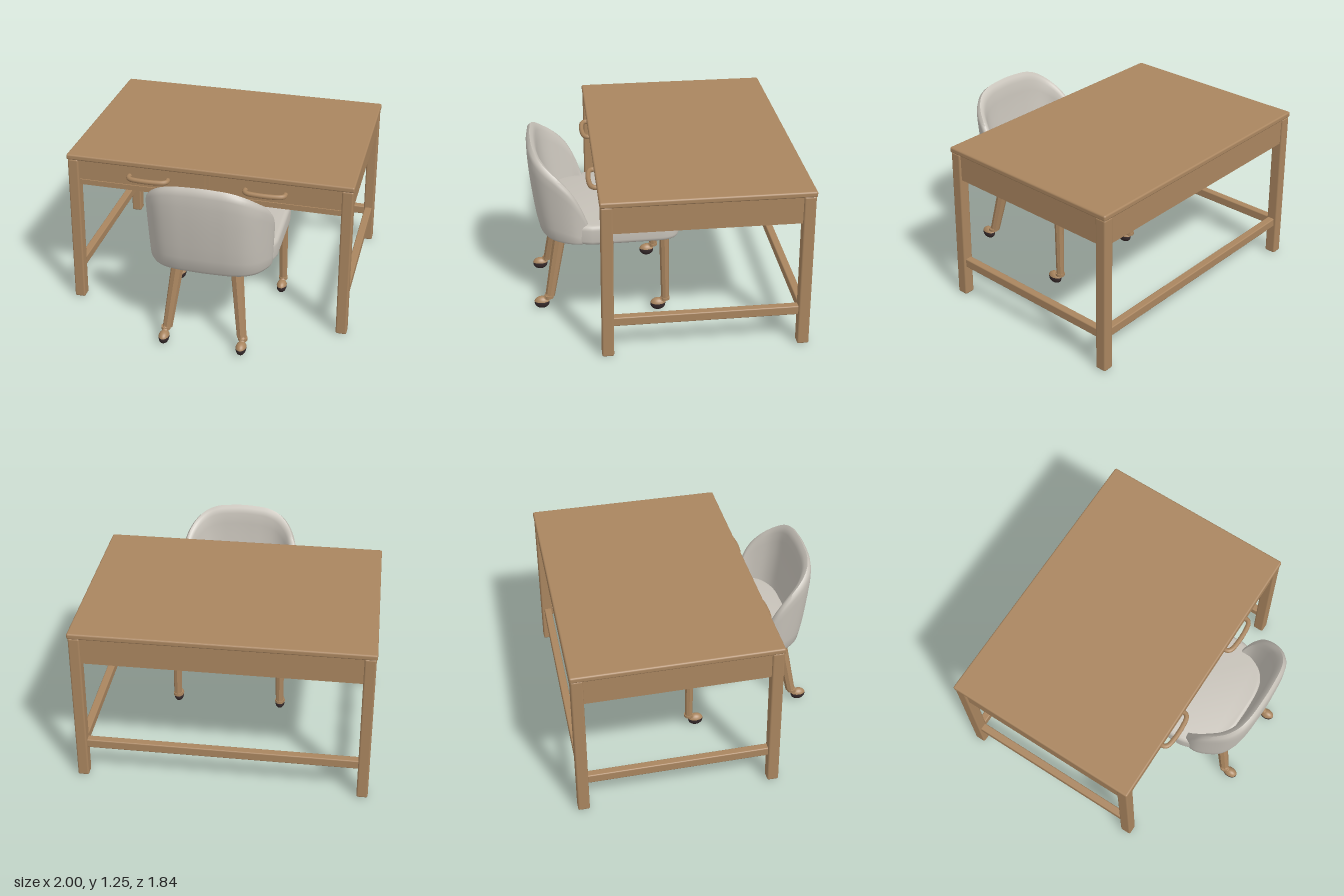
import * as THREE from 'three';
import { toCreasedNormals } from 'three/addons/utils/BufferGeometryUtils.js';
import { RoundedBoxGeometry } from 'three/addons/geometries/RoundedBoxGeometry.js';

const mat = (name, color) => new THREE.MeshStandardMaterial({ name, color });
const wood = mat('wood', 0xa9855f);
const fabric = mat('grey fabric', 0xc6c1b8);
const rubber = mat('caster rubber', 0x35292a);
const V = (x, y, z) => new THREE.Vector3(x, y, z);

function add(parent, name, geo, material) {
  const m = new THREE.Mesh(geo, material);
  m.name = name;
  parent.add(m);
  return m;
}

// Wooden box given by its extents, with optional rounded edges
function box(parent, name, x0, x1, y0, y1, z0, z1, r = 0) {
  const s = [x1 - x0, y1 - y0, z1 - z0];
  const geo = r ? new RoundedBoxGeometry(...s, 2, r) : new THREE.BoxGeometry(...s);
  const m = add(parent, name, geo, wood);
  m.position.set((x0 + x1) / 2, (y0 + y1) / 2, (z0 + z1) / 2);
  return m;
}

// Tapered bar between two points; few sides give a faceted look
function bar(parent, name, a, b, ra, rb, sides = 16) {
  const geo = toCreasedNormals(new THREE.CylinderGeometry(rb, ra, a.distanceTo(b), sides), 0.6);
  const m = add(parent, name, geo, wood);
  m.position.copy(a).lerp(b, 0.5);
  m.quaternion.setFromUnitVectors(V(0, 1, 0), b.clone().sub(a).normalize());
  return m;
}

function createDesk() {
  const desk = new THREE.Group();
  desk.name = 'desk';
  const cz = -0.217;
  box(desk, 'deskTop', -0.993, 0.993, 1.12, 1.16, -0.91, 0.476, 0.012);

  // Legs splay slightly outwards towards the floor
  for (const sx of [-1, 1]) for (const sz of [-1, 1]) {
    const geo = new RoundedBoxGeometry(0.076, 1.115, 0.08, 2, 0.012);
    const p = geo.attributes.position;
    for (let i = 0; i < p.count; i++) {
      const t = 0.5 - p.getY(i) / 1.115;
      p.setX(i, p.getX(i) + sx * 0.013 * t);
      p.setZ(i, p.getZ(i) + sz * 0.013 * t);
    }
    add(desk, 'deskLeg', geo, wood).position.set(sx * 0.949, 0.5655, cz + sz * 0.648);
  }

  // Aprons and low stretchers
  for (const s of [-1, 1]) {
    const x = s * 0.955;
    box(desk, 'sideApron', x - 0.02, x + 0.02, 0.93, 1.12, -0.83, 0.4);
    box(desk, 'sideStretcher', x - 0.027, x + 0.027, 0.235, 0.3, -0.84, 0.41, 0.008);
  }
  box(desk, 'backApron', -0.92, 0.92, 0.93, 1.12, -0.893, -0.853);
  box(desk, 'backStretcher', -0.93, 0.93, 0.235, 0.3, -0.895, -0.841, 0.008);

  // Drawer case, its underside and framing strips
  box(desk, 'drawerCase', -0.935, 0.935, 0.95, 1.12, -0.853, 0.425);
  box(desk, 'frontRail', -0.915, 0.915, 0.93, 0.968, 0.4, 0.452);
  box(desk, 'drawerDivider', -0.012, 0.012, 0.96, 1.12, 0.42, 0.447);
  box(desk, 'undersideStrip', -0.012, 0.012, 0.938, 0.955, -0.853, 0.41);

  // Drawer fronts with bowed pulls
  for (const s of [-1, 1]) {
    const x = s * 0.465;
    box(desk, 'drawerFront', x - 0.447, x + 0.447, 0.973, 1.116, 0.42, 0.453);
    const c = s * 0.405 - 0.005;
    const path = new THREE.CatmullRomCurve3([
      [-0.136, 0.445], [-0.134, 0.482], [-0.115, 0.5], [-0.05, 0.511],
      [0.05, 0.511], [0.115, 0.5], [0.134, 0.482], [0.136, 0.445],
    ].map(([px, pz]) => V(c + px, 1.042, pz)));
    add(desk, 'drawerHandle', new THREE.TubeGeometry(path, 40, 0.017, 10), wood);
  }
  return desk;
}

// Wrap-around backrest: a closed section carried along a U-shaped plan
function backrestGeometry() {
  // Half plan from the middle outwards: x, height of the rim, z
  const half = [
    [0.1, 1.248, 0.913], [0.2, 1.238, 0.905], [0.29, 1.207, 0.88], [0.362, 1.152, 0.825],
    [0.414, 1.075, 0.735], [0.44, 0.98, 0.65], [0.437, 0.86, 0.585], [0.415, 0.72, 0.53],
  ];
  const curve = new THREE.CatmullRomCurve3([
    ...half.map(([x, y, z]) => V(-x, y, z)).reverse(),
    V(0, 1.252, 0.916),
    ...half.map(([x, y, z]) => V(x, y, z)),
  ]);
  // Section: fraction of height, then 0 = outer skin to 1 = inner skin
  const section = [
    [0, 0.25], [0.02, 0.08], [0.06, 0], [0.2, 0], [0.35, 0], [0.5, 0], [0.65, 0], [0.8, 0], [0.92, 0],
    [0.975, 0.12], [1, 0.45], [0.975, 0.8], [0.92, 1], [0.8, 1], [0.65, 1], [0.5, 1], [0.35, 1], [0.2, 1], [0, 1],
  ];
  const N = 64, M = section.length, pos = [], index = [];
  for (let i = 0; i <= N; i++) {
    const c = curve.getPoint(i / N);
    for (const [f, k] of section) {
      const y = 0.577 + f * (c.y - 0.577);
      const t = Math.min(1, (y - 0.577) / 0.5);
      const sx = (0.95 + 0.05 * t) * (1 - k * (0.2 - 0.1 * f));
      const sz = (0.8 + 0.2 * Math.sqrt(t)) * (1 - k * (0.28 - 0.14 * f));
      pos.push(c.x * sx, y, 0.5 + (c.z - 0.5) * sz);
    }
  }
  for (let i = 0; i < N; i++) for (let j = 0; j < M; j++) {
    const a = i * M + j, b = a + M, d = i * M + (j + 1) % M, e = d + M;
    index.push(a, b, e, a, e, d);
  }
  for (let j = 1; j < M - 1; j++) {
    index.push(0, j, j + 1, N * M, N * M + j + 1, N * M + j);
  }
  const geo = new THREE.BufferGeometry();
  geo.setAttribute('position', new THREE.Float32BufferAttribute(pos, 3));
  geo.setIndex(index);
  return toCreasedNormals(geo, 0.9);
}

function seatGeometry() {
  const s = new THREE.Shape();
  s.moveTo(-0.3, -0.105);
  s.lineTo(0.3, -0.105);
  s.quadraticCurveTo(0.42, -0.105, 0.428, 0.03);
  s.lineTo(0.437, 0.5);
  s.bezierCurveTo(0.41, 0.66, 0.3, 0.785, 0.1, 0.79);
  s.lineTo(-0.1, 0.79);
  s.bezierCurveTo(-0.3, 0.785, -0.41, 0.66, -0.437, 0.5);
  s.lineTo(-0.428, 0.03);
  s.quadraticCurveTo(-0.42, -0.105, -0.3, -0.105);
  const geo = new THREE.ExtrudeGeometry(s, {
    depth: 0.08, bevelThickness: 0.034, bevelSize: 0.03, bevelOffset: -0.03,
    bevelSegments: 5, curveSegments: 14,
  });
  geo.rotateX(Math.PI / 2).translate(0, 0.691, 0);
  return toCreasedNormals(geo, 0.7);
}

// Caster: collar, bent stem, rubber wheel and a wooden hood over it
function addCaster(chair, x, z) {
  const caster = new THREE.Group();
  caster.name = 'caster';
  caster.position.set(x, 0, z);
  bar(caster, 'casterCollar', V(0, 0.085, 0), V(0, 0.105, 0), 0.032, 0.032);
  bar(caster, 'casterStem', V(0, 0.065, 0.04), V(0, 0.1, 0), 0.022, 0.022);
  const wheel = add(caster, 'casterWheel', new THREE.SphereGeometry(1, 24, 16), rubber);
  wheel.scale.set(0.035, 0.044, 0.053);
  wheel.position.set(0, 0.049, 0.051);
  const hood = add(caster, 'casterHood', new THREE.SphereGeometry(1, 24, 8, 0, Math.PI * 2, 0, Math.PI * 0.41), wood);
  hood.scale.set(0.038, 0.047, 0.056);
  hood.position.set(0, 0.049, 0.051);
  chair.add(caster);
}

function createChair() {
  const chair = new THREE.Group();
  chair.name = 'chair';
  chair.position.x = 0.069;
  add(chair, 'backrest', backrestGeometry(), fabric);
  add(chair, 'seat', seatGeometry(), fabric);
  for (const s of [-1, 1]) {
    bar(chair, 'straightLeg', V(s * 0.384, 0.1, -0.003), V(s * 0.376, 0.6, 0.005), 0.028, 0.034, 8);
    addCaster(chair, s * 0.384, -0.003);
    bar(chair, 'slantedLeg', V(s * 0.262, 0.1, 0.806), V(s * 0.2, 0.61, 0.706), 0.034, 0.045, 8);
    addCaster(chair, s * 0.272, 0.815);
  }
  return chair;
}

export function createModel() {
  const model = new THREE.Group();
  model.name = 'deskAndChair';
  model.add(createDesk(), createChair());
  return model;
}
